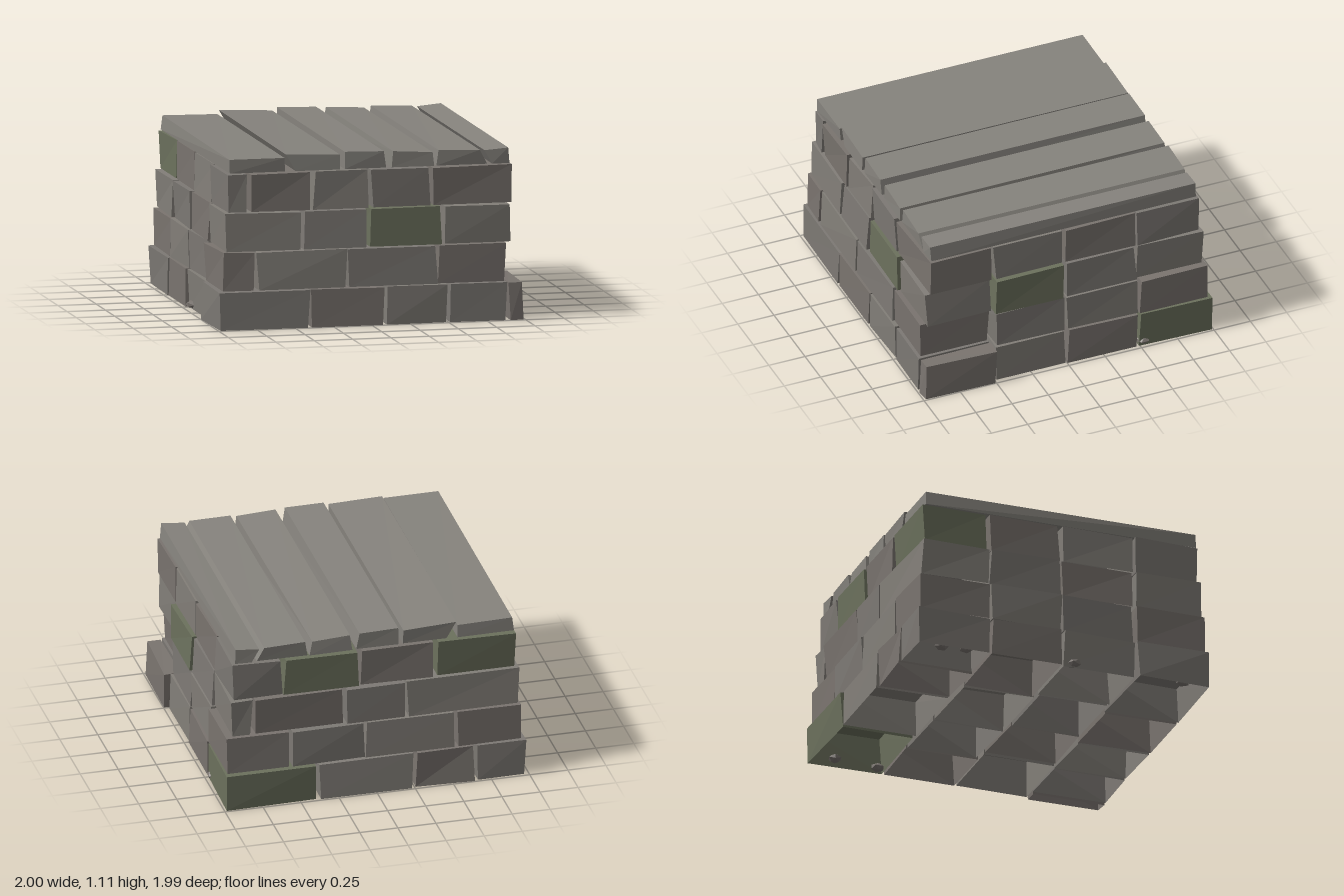
import * as THREE from 'three';

// Small seeded generator for the hand-cut irregularity
let seed = 7;
const rand = () => {
  seed = (seed * 16807) % 2147483647;
  return seed / 2147483647;
};

const stone = (color) =>
  new THREE.MeshStandardMaterial({ color, flatShading: true, side: THREE.DoubleSide });
const greys = [0x7d7974, 0x7a746f, 0x827e78].map(stone);
const mossy = stone(0x6c715d);
const slabGrey = stone(0x86837d);

// Block with an open underside; xT/xB are [left, right] at the top and bottom,
// yT is the height at the top left and right, and corners are nudged inwards.
function block(xB, xT, y0, yT, z0, z1, nudge) {
  const geo = new THREE.BoxGeometry(1, 1, 1);
  const index = Array.from(geo.index.array);
  index.splice(18, 6); // remove the bottom face
  geo.setIndex(index);
  const corners = [];
  for (let c = 0; c < 8; c++) {
    const right = c & 1, top = (c >> 1) & 1, front = c >> 2;
    const x = (top ? xT : xB)[right] + (right ? -1 : 1) * rand() * nudge;
    const y = top ? yT[right] - rand() * nudge * 0.4 : y0;
    const z = (front ? z1 : z0) + (front ? -1 : 1) * rand() * nudge;
    corners.push([x, y, z]);
  }
  const p = geo.attributes.position;
  for (let i = 0; i < p.count; i++) {
    const c = (p.getX(i) > 0 ? 1 : 0) + (p.getY(i) > 0 ? 2 : 0) + (p.getZ(i) > 0 ? 4 : 0);
    p.setXYZ(i, ...corners[c]);
  }
  const flat = geo.toNonIndexed();
  flat.computeVertexNormals();
  return flat;
}

// Joints along x for every course (bottom to top), each with four rows from front to back
const courses = [
  [[-1, -0.4, 0.09, 0.5, 0.89, 1], [-0.97, -0.5, 0, 0.45, 0.98],
   [-0.98, -0.45, 0.1, 0.55, 0.98], [-0.99, -0.65, -0.25, 0.38, 0.99]],
  [[-0.98, -0.75, -0.155, 0.435, 0.88], [-0.96, -0.55, -0.05, 0.5, 0.96],
   [-0.97, -0.4, 0.12, 0.6, 0.97], [-0.97, -0.52, 0.07, 0.55, 0.98]],
  [[-0.95, -0.445, -0.01, 0.47, 0.92], [-0.95, -0.6, -0.1, 0.4, 0.96],
   [-0.95, -0.48, 0.05, 0.5, 0.95], [-0.95, -0.2, 0.2, 0.8, 0.95]],
  [[-0.94, -0.79, -0.375, 0.005, 0.395, 0.94], [-0.93, -0.5, -0.05, 0.45, 0.93],
   [-0.93, -0.35, 0.04, 0.55, 0.93], [-0.93, -0.4, 0.1, 0.6, 0.94]],
];
// course, row, brick of the mossy ones
const mossySet = new Set(['0,3,3', '2,0,2', '2,1,3', '3,3,0', '3,3,2']);

// Slabs on top: bottom x range, top x range, top heights
const slabs = [
  [[-0.92, -0.545], [-0.92, -0.55], [1.09, 1.085]],
  [[-0.485, -0.19], [-0.545, -0.19], [1.108, 1.095]],
  [[-0.17, 0.115], [-0.17, 0.105], [1.112, 1.105]],
  [[0.14, 0.425], [0.145, 0.415], [1.105, 1.09]],
  [[0.43, 0.77], [0.45, 0.725], [1.097, 1.09]],
  [[0.8, 0.915], [0.745, 0.91], [1.085, 1.098]],
];

export function createModel() {
  seed = 7;
  const model = new THREE.Group();
  model.name = 'brickPlatform';

  // Stone courses, stepping in slightly towards the top
  courses.forEach((rows, level) => {
    const course = new THREE.Group();
    course.name = `course${level + 1}`;
    const e = 0.995 - level * 0.018;
    const joints = [e, 0.49, 0, -0.49, -e];
    const y0 = level * 0.249, y1 = y0 + 0.247;
    rows.forEach((xs, r) => {
      for (let i = 0; i < xs.length - 1; i++) {
        const range = [xs[i], xs[i + 1]];
        const geo = block(range, range, y0, [y1, y1], joints[r + 1], joints[r], 0.022);
        const isMossy = mossySet.has(`${level},${r},${i}`);
        const brick = new THREE.Mesh(geo, isMossy ? mossy : greys[(i + r * 2 + level) % 3]);
        brick.name = isMossy ? 'mossyBrick' : 'brick';
        course.add(brick);
      }
    });
    model.add(course);
  });

  // Long covering slabs
  const cover = new THREE.Group();
  cover.name = 'topSlabs';
  for (const [xB, xT, yT] of slabs) {
    const slab = new THREE.Mesh(block(xB, xT, 0.997, yT, -0.92, 0.92, 0.012), slabGrey);
    slab.name = 'topSlab';
    cover.add(slab);
  }
  model.add(cover);

  // Pebbles lodged at the foot of the side walls
  const pebbles = new THREE.Group();
  pebbles.name = 'pebbles';
  const spots = [[0.95, -0.53], [0.92, -0.83], [-0.92, -0.64], [-0.9, -0.8], [-0.95, 0.08], [-0.94, 0.82]];
  spots.forEach(([x, z], i) => {
    const pebble = new THREE.Mesh(new THREE.IcosahedronGeometry(0.045, 0), greys[1]);
    pebble.name = 'pebble';
    pebble.scale.set(1, 0.6, 1.1);
    pebble.rotation.y = i * 1.3;
    pebble.position.set(x, 0.03, z);
    pebbles.add(pebble);
  });
  model.add(pebbles);
  return model;
}
